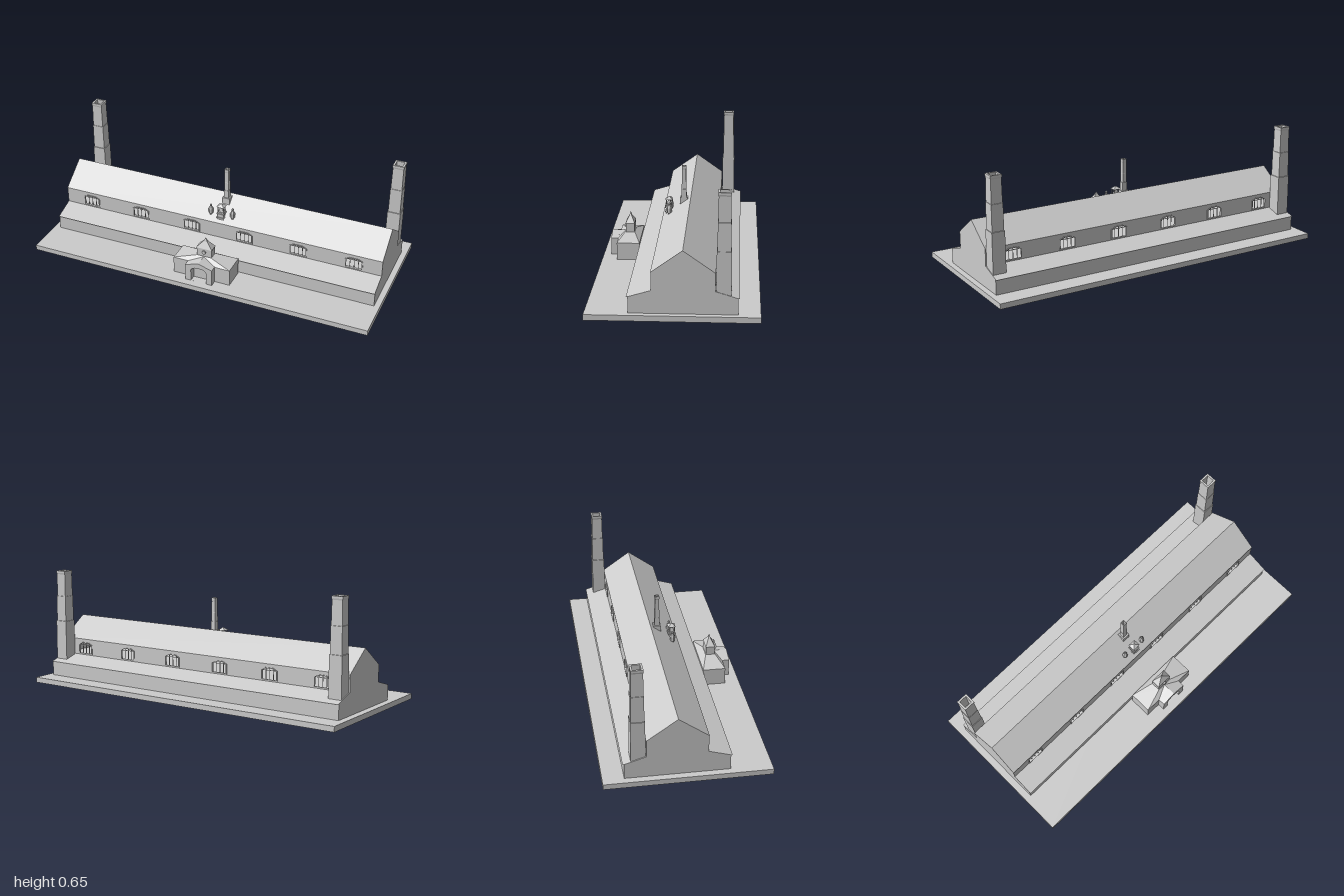
import * as THREE from 'three';

const mat = new THREE.MeshStandardMaterial({ color: 0xcccccc, flatShading: true, side: THREE.DoubleSide });
const HALL_X = 0.003, HALL_W = 1.93;      // hall centre and length
const ENTRY_X = 0.0135;                   // axis of entrance, bell turret and small stack

export function createModel() {
  const root = new THREE.Group();

  const add = (name, geo, x = 0, y = 0, z = 0, parent = root) => {
    const m = new THREE.Mesh(geo, mat);
    m.name = name;
    m.position.set(x, y, z);
    parent.add(m);
    return m;
  };
  const box = (name, w, h, d, x, y0, z, parent) =>
    add(name, new THREE.BoxGeometry(w, h, d), x, y0 + h / 2, z, parent);
  const poly = (pts) => new THREE.Shape(pts.map(([x, y]) => new THREE.Vector2(x, y)));
  const extrude = (shape, depth) => new THREE.ExtrudeGeometry(shape, { depth, bevelEnabled: false, curveSegments: 6 });

  // Prism along x from a (z, y) profile
  const prismX = (name, pts, w, cx) => {
    const g = extrude(poly(pts.map(([z, y]) => [-z, y])), w);
    g.rotateY(Math.PI / 2);
    return add(name, g, cx - w / 2);
  };

  // Box whose top is scaled to another size
  const taper = (name, w0, d0, w1, d1, y0, y1, x, z, parent) => {
    const g = new THREE.BoxGeometry(1, y1 - y0, 1), p = g.attributes.position;
    for (let i = 0; i < p.count; i++) {
      const top = p.getY(i) > 0;
      p.setX(i, p.getX(i) * (top ? w1 : w0));
      p.setZ(i, p.getZ(i) * (top ? d1 : d0));
    }
    g.computeVertexNormals();
    return add(name, g, x, (y0 + y1) / 2, z, parent);
  };

  // Square stack turned from (width, height) pairs
  const squareStack = (name, pts, x, z, sides = 4) => {
    const g = new THREE.LatheGeometry(pts.map(([w, y]) => new THREE.Vector2(w / Math.SQRT2, y)), sides);
    g.rotateY(Math.PI / 4);
    return add(name, g, x, 0, z);
  };

  box('basePlate', 2, 0.03, 0.876, 0, 0, 0);

  // Hall: wide lower storey with sloping side roofs
  prismX('lowerStorey', [[0.22, 0.03], [0.22, 0.115], [0.228, 0.113], [0.105, 0.15],
    [-0.212, 0.15], [-0.333, 0.113], [-0.326, 0.115], [-0.326, 0.03]], HALL_W, HALL_X);
  prismX('mainRoof', [[0.107, 0.244], [-0.052, 0.358], [-0.214, 0.244]], HALL_W, HALL_X);
  for (const s of [-1, 1])
    box('endWall', 0.012, 0.095, 0.317, HALL_X + s * (HALL_W / 2 - 0.006), 0.15, -0.0535);

  // Clerestory walls with six open windows each
  const windowPts = (cx, k) => [[-0.048, 0.157], [0.048, 0.157], [0.048, 0.21], [0.024, 0.222], [-0.024, 0.222], [-0.048, 0.21]]
    .map(([x, y]) => [cx + x * k, 0.19 + (y - 0.19) * k]);
  const windowX = [0, 1, 2, 3, 4, 5].map((i) => 0.004 + (i - 2.5) * 0.322);
  const wall = poly([[HALL_X - HALL_W / 2, 0.15], [HALL_X + HALL_W / 2, 0.15],
    [HALL_X + HALL_W / 2, 0.245], [HALL_X - HALL_W / 2, 0.245]]);
  for (const x of windowX) wall.holes.push(poly(windowPts(x, 1)));
  for (const [z, out] of [[0.105, 1], [-0.212, -1]]) {
    add('clerestoryWall', extrude(wall, 0.012), 0, 0, out > 0 ? z - 0.012 : z);
    for (const x of windowX) {
      const win = new THREE.Group();
      win.name = 'window';
      root.add(win);
      const frame = poly(windowPts(0, 1.06));
      frame.holes.push(poly(windowPts(0, 0.93)));
      add('windowFrame', extrude(frame, 0.008), x, 0, z + out * 0.0 - 0.004, win);
      for (const dx of [-0.024, 0, 0.024])
        box('mullion', 0.0025, 0.063, 0.004, x + dx, 0.158, z - out * 0.006, win);
      box('transom', 0.094, 0.0025, 0.004, x, 0.207, z - out * 0.006, win);
    }
  }

  // Tall hollow chimneys at the back corners
  for (const x of [-0.919, 0.927])
    squareStack('chimney', [[0.075, 0.11], [0.074, 0.353], [0.068, 0.354], [0.066, 0.5], [0.063, 0.501],
      [0.06, 0.63], [0.064, 0.638], [0.064, 0.65], [0.044, 0.65], [0.042, 0.52], [0, 0.52]], x, -0.254);

  // Small central stack on the roof
  squareStack('smallStack', [[0.043, 0.29], [0.043, 0.353], [0.029, 0.353], [0.028, 0.4], [0.026, 0.401],
    [0.025, 0.45], [0.024, 0.451], [0.023, 0.515], [0.025, 0.52], [0.025, 0.535], [0.016, 0.535], [0.016, 0.47], [0, 0.47]],
    ENTRY_X, -0.013);

  // Bell turret with flanking finials
  const turret = new THREE.Group();
  turret.name = 'bellTurret';
  root.add(turret);
  const tz = 0.071;
  box('turretBase', 0.036, 0.06, 0.034, ENTRY_X, 0.245, tz, turret);
  for (const y of [0.268, 0.292]) box('turretBand', 0.044, 0.004, 0.044, ENTRY_X, y, tz, turret);
  taper('turretCore', 0.026, 0.024, 0.014, 0.014, 0.305, 0.335, ENTRY_X, tz, turret);
  for (const sx of [-1, 1]) for (const sz of [-1, 1])
    box('turretPost', 0.004, 0.036, 0.004, ENTRY_X + sx * 0.016, 0.303, tz + sz * 0.015, turret);
  taper('turretRoof', 0.046, 0.042, 0.002, 0.002, 0.338, 0.354, ENTRY_X, tz, turret);
  for (const s of [-1, 1])
    squareStack('finial', [[0, 0.257], [0.01, 0.258], [0.013, 0.272], [0.02, 0.28], [0.021, 0.305], [0.012, 0.318],
      [0.007, 0.322], [0.01, 0.33], [0, 0.338]], ENTRY_X + s * 0.066, 0.066, 6);

  // Entrance pavilion with hipped roof and spired tower
  box('pavilion', 0.337, 0.097, 0.127, ENTRY_X, 0.03, 0.2915);
  taper('pavilionRoof', 0.337, 0.127, 0.092, 0.055, 0.127, 0.153, ENTRY_X, 0.2915);
  box('tower', 0.088, 0.055, 0.049, ENTRY_X, 0.15, 0.291);
  taper('spire', 0.094, 0.053, 0.026, 0.014, 0.203, 0.24, ENTRY_X, 0.291);
  taper('spireTip', 0.026, 0.014, 0.001, 0.001, 0.24, 0.262, ENTRY_X, 0.291);
  const disc = new THREE.CylinderGeometry(0.011, 0.011, 0.008, 12);
  disc.rotateX(Math.PI / 2);
  add('towerDisc', disc, ENTRY_X, 0.181, 0.319);

  // Gabled porch with arched doorway
  const porch = poly([[-0.08, 0.03], [0.08, 0.03], [0.08, 0.128], [0, 0.153], [-0.08, 0.128]]);
  const door = new THREE.Path();
  door.moveTo(-0.046, 0.0302);
  door.lineTo(0.046, 0.0302);
  door.lineTo(0.046, 0.098);
  door.quadraticCurveTo(0.042, 0.12, 0, 0.121);
  door.quadraticCurveTo(-0.042, 0.12, -0.046, 0.098);
  door.closePath();
  porch.holes.push(door);
  add('porch', extrude(porch, 0.042), ENTRY_X, 0, 0.353);
  // Porch roof running back to the tower
  add('porchRoof', extrude(poly([[-0.08, 0.127], [0.08, 0.127], [0, 0.153]]), 0.045), ENTRY_X, 0, 0.31);

  return root;
}
